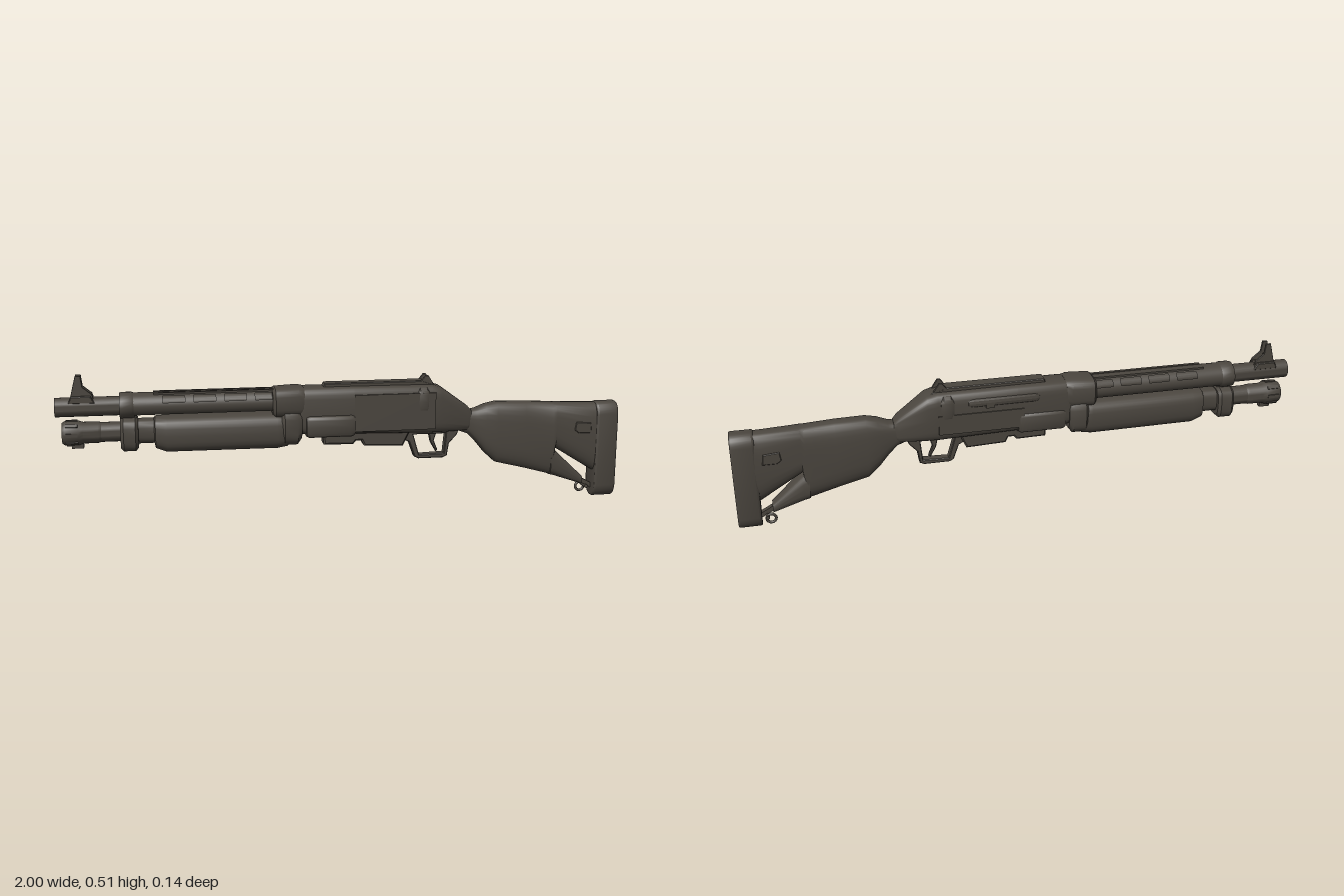
import * as THREE from 'three';
import { toCreasedNormals } from 'three/addons/utils/BufferGeometryUtils.js';

const CZ = -0.004; // centre plane of the body
const BARREL_Y = 0.4, TUBE_Y = 0.31;

export function createModel() {
  const root = new THREE.Group();
  root.name = 'pumpActionGun';
  const metal = new THREE.MeshStandardMaterial({ color: 0x4b463f, side: THREE.DoubleSide });
  metal.name = 'dark gunmetal';

  function add(name, geo, x = 0, y = 0, z = CZ, parent = root) {
    const mesh = new THREE.Mesh(geo, metal);
    mesh.name = name;
    mesh.position.set(x, y, z);
    parent.add(mesh);
    return mesh;
  }

  // Rounded-box cross-sections [x, bottom, top, halfWidth] joined along x
  function loft(sections, power = 0.55, n = 28) {
    const pos = [], index = [];
    for (const [x, y0, y1, w] of sections) {
      for (let j = 0; j < n; j++) {
        const a = (j / n) * Math.PI * 2, c = Math.cos(a), s = Math.sin(a);
        pos.push(x, (y0 + y1) / 2 + (y1 - y0) / 2 * Math.sign(s) * Math.abs(s) ** power,
          w * Math.sign(c) * Math.abs(c) ** power);
      }
    }
    const last = sections.length - 1;
    for (let i = 0; i < last; i++) {
      for (let j = 0; j < n; j++) {
        const a = i * n + j, b = i * n + (j + 1) % n;
        index.push(a, a + n, b, b, a + n, b + n);
      }
    }
    for (const i of [0, last]) {
      const [x, y0, y1] = sections[i], centre = pos.length / 3;
      pos.push(x, (y0 + y1) / 2, 0);
      for (let j = 0; j < n; j++) {
        const a = i * n + j, b = i * n + (j + 1) % n;
        if (i === 0) index.push(centre, a, b); else index.push(centre, b, a);
      }
    }
    const geo = new THREE.BufferGeometry();
    geo.setAttribute('position', new THREE.Float32BufferAttribute(pos, 3));
    geo.setIndex(index);
    return toCreasedNormals(geo, 0.6);
  }

  // Turned part along x from [radius, x] points
  function turned(points, sides = 24) {
    const geo = new THREE.LatheGeometry(points.map(p => new THREE.Vector2(...p)), sides);
    return toCreasedNormals(geo.rotateZ(-Math.PI / 2), 0.6);
  }

  const toPoints = list => list.map(p => new THREE.Vector2(...p));

  // Flat side profile with thickness along z
  function profile(outline, depth, holes = [], bevel = 0.003) {
    const shape = new THREE.Shape(toPoints(outline));
    for (const h of holes) shape.holes.push(new THREE.Path(toPoints(h)));
    const geo = new THREE.ExtrudeGeometry(shape, {
      depth: depth - 2 * bevel, bevelSize: bevel, bevelThickness: bevel,
      bevelOffset: -bevel, bevelSegments: 1
    });
    return geo.translate(0, 0, bevel - depth / 2);
  }

  const box = (w, h, d) => new THREE.BoxGeometry(w, h, d);

  // Barrel with open bore, and the magazine tube below it
  add('barrel', turned([[0, -0.88], [0.022, -0.88], [0.024, -1], [0.033, -1], [0.033, -0.15], [0, -0.15]]), 0, BARREL_Y);
  add('magazineTube', turned([[0, -0.92], [0.034, -0.92], [0.034, -0.15], [0, -0.15]]), 0, TUBE_Y);
  add('magazineCap', turned([[0, -0.955], [0.026, -0.955], [0.026, -0.98], [0.036, -0.98],
    [0.042, -0.97], [0.042, -0.925], [0.037, -0.91], [0.037, -0.86], [0.034, -0.85]]), 0, TUBE_Y);
  for (let i = 0; i < 8; i++) {
    const a = i * Math.PI / 4;
    add('capRib', box(0.04, 0.008, 0.012), -0.947, TUBE_Y + 0.041 * Math.sin(a), CZ + 0.041 * Math.cos(a))
      .rotation.x = Math.PI / 2 - a;
  }
  add('slingLug', box(0.04, 0.016, 0.02), -0.93, 0.265);

  // Slotted heat shield built from curved strips
  const shield = new THREE.Group();
  shield.name = 'heatShield';
  shield.position.set(0, BARREL_Y, CZ);
  shield.scale.z = 1.15;
  root.add(shield);
  function strip(name, x0, x1, from, to, r = 0.043) {
    const rad = Math.PI / 180;
    const geo = new THREE.CylinderGeometry(r, r, x1 - x0, 8, 1, true, from * rad, (to - from) * rad);
    add(name, geo.rotateZ(Math.PI / 2), (x0 + x1) / 2, 0, 0, shield);
  }
  strip('shieldTop', -0.78, -0.24, 52, 128);
  for (const [lo, hi, low] of [[18, 52, -42], [128, 162, 222]]) {
    strip('shieldSide', -0.78, -0.24, Math.min(low, lo === 18 ? 18 : 162), Math.max(low, lo === 18 ? 18 : 162));
    let x = -0.78;
    for (const slot of [-0.64, -0.535, -0.43, -0.325]) {
      strip('shieldBridge', x, slot, lo, hi);
      x = slot + 0.075;
    }
    strip('shieldBridge', x, -0.24, lo, hi);
  }
  add('shieldCollar', turned([[0.032, -0.785], [0.044, -0.785], [0.046, -0.775], [0.046, -0.745], [0.042, -0.735]]),
    0, 0, 0, shield);
  for (const side of [1, -1]) {
    add('shieldRail', box(0.42, 0.008, 0.012), -0.46, BARREL_Y + 0.04, CZ + side * 0.018);
  }

  // Front clamp
  add('frontClamp', loft([[-0.785, 0.255, 0.355, 0.055], [-0.775, 0.245, 0.362, 0.064],
    [-0.735, 0.245, 0.362, 0.064], [-0.725, 0.255, 0.355, 0.055]]));
  add('clampBridge', box(0.05, 0.05, 0.04), -0.755, 0.36);

  // Sliding fore-end
  add('foreEnd', loft([[-0.725, 0.268, 0.352, 0.042], [-0.672, 0.268, 0.352, 0.042], [-0.668, 0.25, 0.358, 0.053],
    [-0.63, 0.236, 0.36, 0.06], [-0.25, 0.234, 0.36, 0.062], [-0.215, 0.24, 0.358, 0.06], [-0.2, 0.255, 0.35, 0.052]], 0.65));

  // Rear clamp joining barrel and receiver
  add('rearClampUpper', loft([[-0.265, 0.355, 0.44, 0.05], [-0.255, 0.345, 0.448, 0.062],
    [-0.175, 0.345, 0.452, 0.062], [-0.155, 0.35, 0.448, 0.056]]));
  add('rearClampLower', loft([[-0.235, 0.27, 0.36, 0.058], [-0.225, 0.245, 0.38, 0.066],
    [-0.18, 0.245, 0.38, 0.066], [-0.165, 0.265, 0.37, 0.058]], 0.6));

  // Receiver with sloping tail
  add('receiver', loft([[-0.17, 0.285, 0.445, 0.055], [-0.15, 0.28, 0.447, 0.058], [0.02, 0.277, 0.447, 0.058],
    [0.3, 0.27, 0.445, 0.058], [0.335, 0.27, 0.435, 0.055], [0.435, 0.272, 0.362, 0.036], [0.45, 0.28, 0.345, 0.03]], 0.42));
  add('topRib', profile([[-0.09, 0.435], [-0.08, 0.458], [0.27, 0.458], [0.33, 0.435]], 0.05));
  add('frontSidePanel', box(0.29, 0.13, 0.008), 0.165, 0.355, CZ + 0.058);
  add('loadingHousing', loft([[-0.15, 0.277, 0.348, 0.064], [-0.14, 0.272, 0.352, 0.068],
    [0.01, 0.272, 0.352, 0.068], [0.02, 0.277, 0.348, 0.064]], 0.35), 0, 0, 0);
  add('sideLever', loft([[0.245, 0.35, 0.43, 0.06], [0.255, 0.335, 0.442, 0.064],
    [0.28, 0.335, 0.442, 0.064], [0.29, 0.35, 0.43, 0.06]], 0.5));
  add('boltCover', turned([[0, -0.06], [0.014, -0.055], [0.018, -0.04], [0.018, 0.18], [0.014, 0.195], [0, 0.2]], 12),
    0, 0.405, CZ - 0.046);
  add('boltHandle', box(0.03, 0.02, 0.014), 0.12, 0.395, -0.061);
  add('rearSidePanel', box(0.3, 0.07, 0.008), 0.15, 0.335, CZ - 0.058);
  add('lifterPlate', profile([[-0.09, 0.29], [-0.085, 0.24], [0.02, 0.238], [0.03, 0.25], [0.05, 0.25],
    [0.06, 0.23], [0.2, 0.225], [0.23, 0.29]], 0.06, [], 0.006));

  // Trigger and guard
  add('triggerGuard', profile([[0.195, 0.28], [0.205, 0.245], [0.225, 0.235], [0.245, 0.18], [0.26, 0.173],
    [0.35, 0.173], [0.365, 0.18], [0.372, 0.225], [0.4, 0.255], [0.41, 0.28]], 0.034,
  [[[0.24, 0.262], [0.36, 0.262], [0.353, 0.19], [0.262, 0.187]]]));
  add('trigger', profile([[0.295, 0.275], [0.305, 0.23], [0.325, 0.195], [0.332, 0.2], [0.318, 0.235], [0.33, 0.275]], 0.016));

  // Sights
  add('frontSightBase', profile([[-0.955, 0.415], [-0.945, 0.44], [-0.88, 0.44], [-0.865, 0.415]], 0.06));
  for (const side of [1, -1]) {
    add('frontSightEar', profile([[-0.948, 0.43], [-0.928, 0.508], [-0.91, 0.508], [-0.905, 0.47],
      [-0.875, 0.445], [-0.87, 0.43]], 0.008, [], 0.001), 0, 0, CZ + side * 0.015);
    add('rearSightEar', profile([[0.255, 0.445], [0.28, 0.476], [0.29, 0.476], [0.31, 0.445]], 0.009, [], 0.001),
      0, 0, CZ + side * 0.02);
  }
  add('frontSightPost', box(0.01, 0.03, 0.008), -0.915, 0.45);

  // Shoulder stock, with a cut-out above the lower spur
  add('stock', loft([[0.4, 0.272, 0.345, 0.032], [0.44, 0.257, 0.342, 0.032], [0.47, 0.228, 0.348, 0.036],
    [0.505, 0.185, 0.362, 0.041], [0.545, 0.148, 0.37, 0.045], [0.65, 0.122, 0.368, 0.046], [0.755, 0.093, 0.362, 0.046],
    [0.768, 0.195, 0.361, 0.046], [0.905, 0.11, 0.356, 0.044], [0.94, 0.09, 0.356, 0.044]], 0.6));
  add('stockSpur', loft([[0.75, 0.093, 0.2, 0.045], [0.77, 0.088, 0.185, 0.042], [0.88, 0.05, 0.082, 0.025]], 0.6));
  for (const side of [1, -1]) {
    add('stockInset', profile([[0.835, 0.262], [0.84, 0.292], [0.895, 0.287], [0.9, 0.25], [0.85, 0.25]], 0.009, [], 0.002),
      0, 0, CZ + side * 0.044);
  }

  // Butt pad, a rounded slab facing along x
  const pad = new THREE.Shape();
  pad.moveTo(-0.04, 0.05);
  pad.quadraticCurveTo(-0.034, 0.009, 0, 0.008);
  pad.quadraticCurveTo(0.034, 0.009, 0.04, 0.05);
  pad.lineTo(0.04, 0.315);
  pad.quadraticCurveTo(0.036, 0.354, 0, 0.354);
  pad.quadraticCurveTo(-0.036, 0.354, -0.04, 0.315);
  const padGeo = new THREE.ExtrudeGeometry(pad, {
    depth: 0.065, bevelSize: 0.006, bevelThickness: 0.008, bevelSegments: 3, curveSegments: 8
  }).rotateY(Math.PI / 2);
  add('buttPad', toCreasedNormals(padGeo, 0.6), 0.927, 0, -0.002);

  // Sling swivel at the heel
  add('swivelStud', box(0.06, 0.016, 0.02), 0.895, 0.055).rotation.z = -0.5;
  add('swivelLoop', new THREE.TorusGeometry(0.016, 0.005, 8, 16), 0.888, 0.032, -0.024);
  add('swivelPin', new THREE.CylinderGeometry(0.007, 0.007, 0.05, 10).rotateX(Math.PI / 2), 0.9, 0.04, -0.012);

  return root;
}
